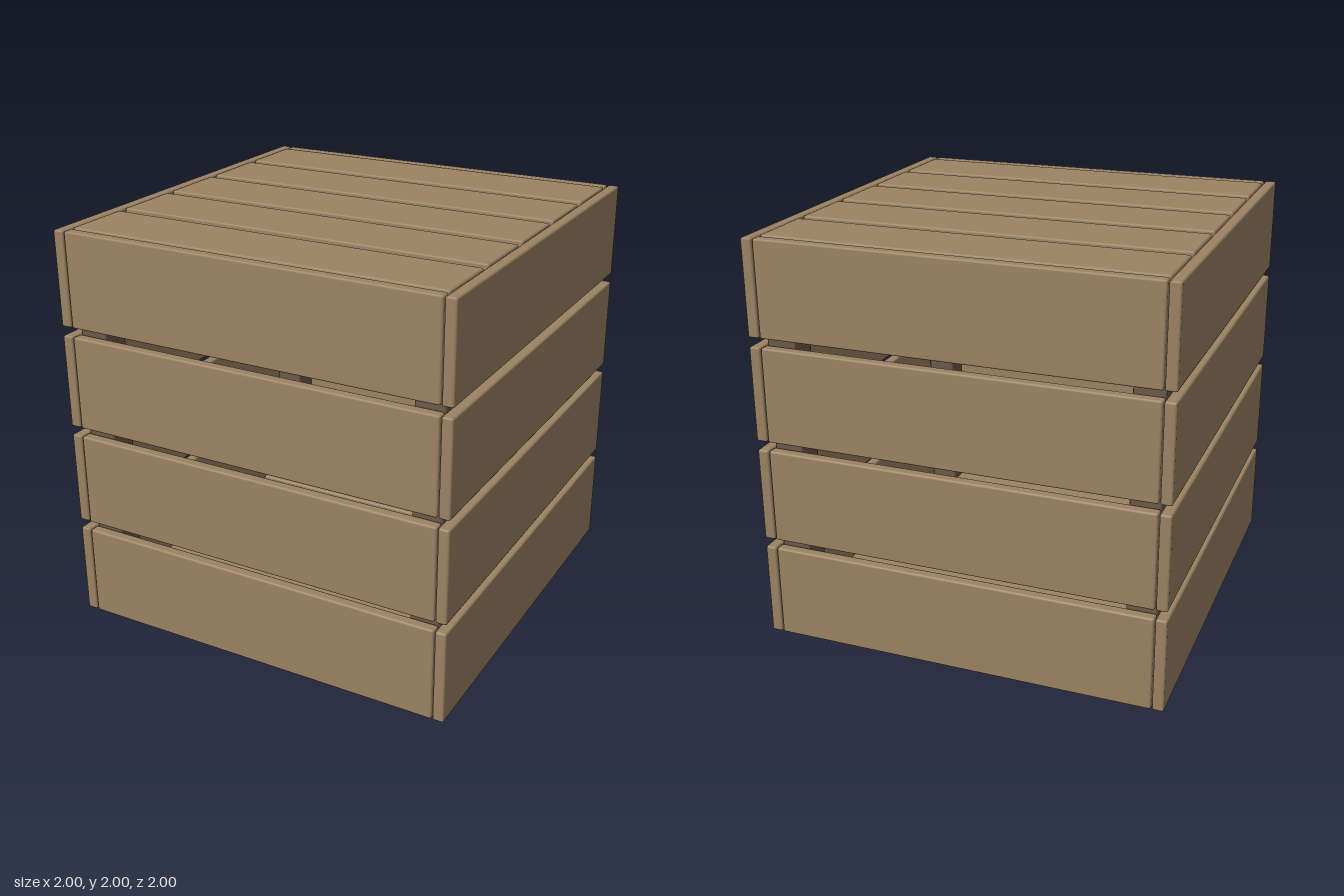
import * as THREE from 'three';
import { RoundedBoxGeometry } from 'three/addons/geometries/RoundedBoxGeometry.js';

const wood = new THREE.MeshStandardMaterial({ color: 0x9c8363 });
const darkWood = new THREE.MeshStandardMaterial({ color: 0x6b5a49 });

const T = 0.055;          // board thickness
const OUT = 1 - T / 2;    // centre of a board flush with the outside
const INNER = 0.94;       // half length of boards fitted between the sides

// Board with slightly eased edges
function board(parent, name, size, position, material = wood) {
  const mesh = new THREE.Mesh(new RoundedBoxGeometry(...size, 1, 0.01), material);
  mesh.name = name;
  mesh.position.set(...position);
  parent.add(mesh);
}

export function createModel() {
  const crate = new THREE.Group();
  crate.name = 'crate';

  // Four rows of wall boards; the side walls cover the ends of the others
  for (let row = 0; row < 4; row++) {
    const y = 0.235 + row * 0.51;
    for (const s of [-1, 1]) {
      board(crate, s > 0 ? 'leftWallBoard' : 'rightWallBoard', [T, 0.466, 2], [s * OUT, y, 0]);
      board(crate, s > 0 ? 'frontWallBoard' : 'backWallBoard', [INNER * 2, 0.466, T], [0, y, s * OUT]);
    }
  }

  // Five slats each for the lid and the floor
  for (let i = -2; i <= 2; i++) {
    const z = i * 0.383;
    board(crate, 'lidSlat', [INNER * 2, T, 0.336], [0, 2 - T / 2, z]);
    board(crate, 'floorSlat', [INNER * 2, T, 0.336], [0, T / 2, z]);
  }

  // Inner corner posts holding the walls together
  for (const x of [-1, 1]) {
    for (const z of [-1, 1]) {
      board(crate, 'cornerPost', [0.145, 1.88, 0.145], [x * 0.867, 1, z * 0.867], darkWood);
    }
  }

  return crate;
}
